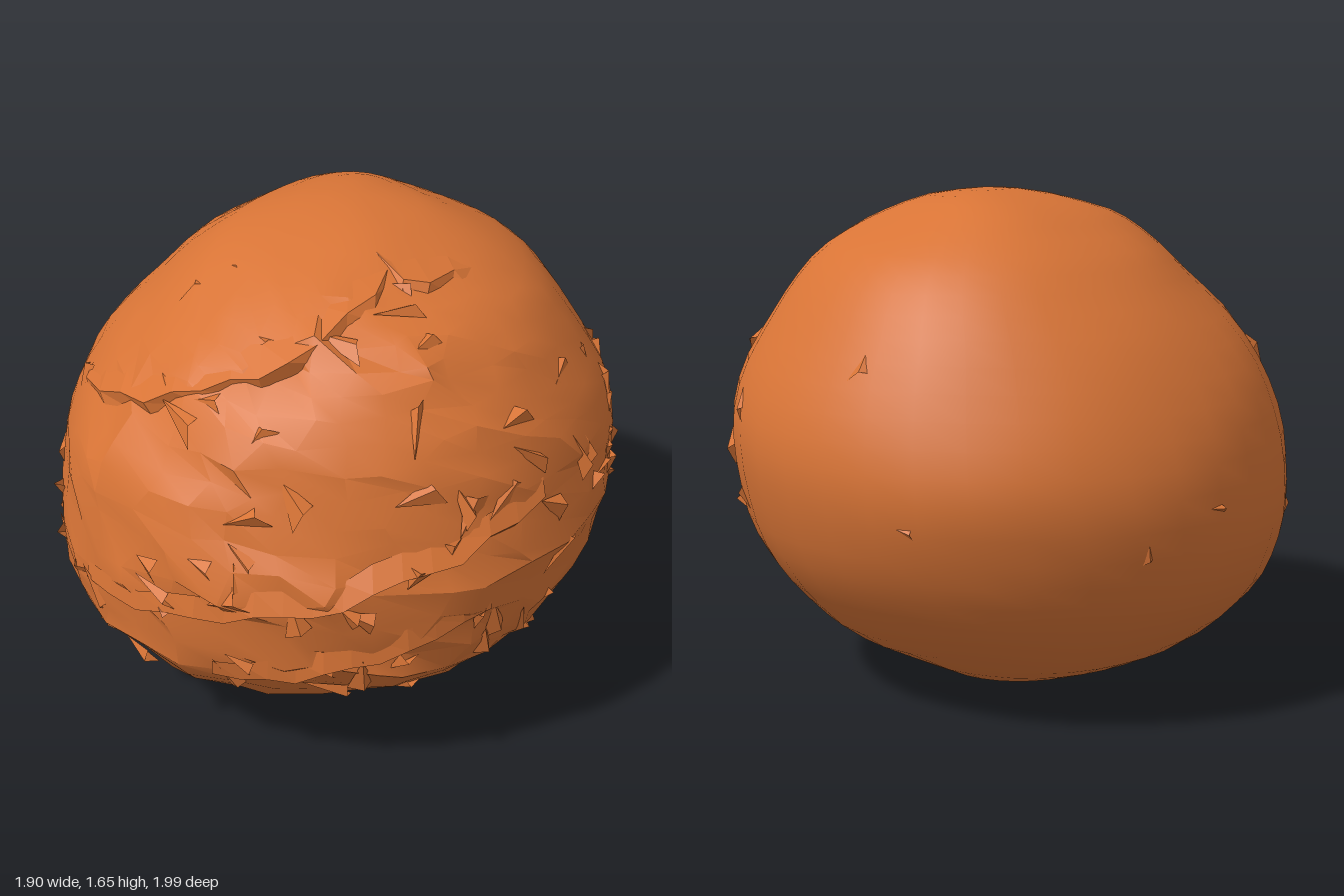
import * as THREE from 'three';
import { toCreasedNormals } from 'three/addons/utils/BufferGeometryUtils.js';

// Seeded random numbers
let seed = 7;
const rnd = () => {
  seed = (seed * 16807) % 2147483647;
  return seed / 2147483647;
};
const spread = (s) => (rnd() - 0.5) * 2 * s;
const { smoothstep, clamp } = THREE.MathUtils;

// Horizontal sections: height, x left/right limits, z back/front limits
const SECTIONS = [
  [0.0, -0.03, -0.03, -0.02, -0.02],
  [0.005, -0.25, 0.17, -0.18, 0.18],
  [0.035, -0.36, 0.27, -0.34, 0.42],
  [0.12, -0.57, 0.46, -0.52, 0.55],
  [0.22, -0.72, 0.64, -0.68, 0.69],
  [0.34, -0.84, 0.77, -0.81, 0.82],
  [0.46, -0.9, 0.85, -0.9, 0.91],
  [0.6, -0.93, 0.91, -0.96, 0.94],
  [0.77, -0.92, 0.94, -1.0, 0.98],
  [0.93, -0.89, 0.94, -0.97, 0.93],
  [1.08, -0.83, 0.9, -0.91, 0.89],
  [1.22, -0.73, 0.82, -0.84, 0.83],
  [1.34, -0.61, 0.74, -0.76, 0.75],
  [1.44, -0.51, 0.65, -0.67, 0.65],
  [1.52, -0.41, 0.53, -0.56, 0.51],
  [1.58, -0.31, 0.41, -0.45, 0.34],
  [1.63, -0.11, 0.27, -0.3, 0.15],
  [1.65, 0.08, 0.08, -0.1, -0.1],
];
const curve = (f) => new THREE.CatmullRomCurve3(
  SECTIONS.map((s) => new THREE.Vector3(...f(s))), false, 'catmullrom', 0.5);
const sideCurve = curve((s) => [s[1], s[0], s[2]]);
const depthCurve = curve((s) => [s[3], s[0], s[4]]);

function ring(u) {
  const s = sideCurve.getPoint(u), d = depthCurve.getPoint(u);
  return {
    y: clamp(s.y, 0, 1.65),
    cx: (s.x + s.z) / 2, rx: Math.abs(s.z - s.x) / 2,
    cz: (d.x + d.z) / 2, rz: Math.abs(d.z - d.x) / 2,
  };
}
// Oval section, squarer at the front -x corner and slimmer near the crown
function surface(u, a) {
  const r = ring(u), c = Math.cos(a), s = Math.sin(a);
  const corner = c < 0 && s > 0 ? 0.045 * (1 - smoothstep(r.y, 1.1, 1.45)) : 0;
  const k = 1 + Math.sin(2 * a) ** 2 * (corner - 0.1 * smoothstep(r.y, 1.45, 1.6));
  return new THREE.Vector3(r.cx + r.rx * k * c, r.y, r.cz + r.rz * k * s);
}
function heightToU(y) {
  let lo = 0, hi = 1;
  for (let i = 0; i < 22; i++) {
    const mid = (lo + hi) / 2;
    if (ring(mid).y < y) lo = mid; else hi = mid;
  }
  return lo;
}
function frontPoint(x, y) {
  const u = heightToU(y), r = ring(u);
  return surface(u, Math.acos(clamp((x - r.cx) / Math.max(r.rx, 0.01), -1, 1)));
}
const outward = (p) =>
  new THREE.Vector3(p.x / 0.88, (p.y - 0.8) / 0.68, p.z / 0.98).normalize();

// Slanting crust ridges across the front: height at x = 0, slope, x range
const RIDGES = [
  { y: 0.79, slope: 0.26, from: -0.75, to: 0.66 },
  { y: 0.51, slope: 0.3, from: -0.36, to: 0.5 },
  { y: 1.49, slope: 0.46, from: -0.8, to: 0.22 },
  { y: 1.62, slope: -0.2, from: 0.14, to: 0.48 },
];
function ridgeOffset(p) {
  let off = 0;
  for (const r of RIDGES) {
    const d = p.y - (r.y + r.slope * p.x);
    const fade = smoothstep(p.x, r.from - 0.1, r.from + 0.15)
      * (1 - smoothstep(p.x, r.to - 0.15, r.to + 0.1));
    if (d < 0 && d > -0.12) off -= 0.022 * (1 + d / 0.12) * fade;
    else if (d >= 0 && d < 0.1) off += 0.012 * (1 - d / 0.1) * fade;
  }
  return off;
}

// Main body: smooth at the back, broken and faceted at the front
function bodyGeometry() {
  const rows = 32, cols = 36, pos = [], idx = [];
  for (let j = 0; j <= rows; j++) {
    for (let i = 0; i < cols; i++) {
      const a = (i / cols) * Math.PI * 2;
      let p = surface(j / rows, a);
      const rough = smoothstep(p.z, -0.05, 0.55) * smoothstep(p.y, 0.05, 0.25)
        * (1 - smoothstep(p.y, 1.45, 1.62));
      if (j > 0 && j < rows) {
        p = surface(j / rows + spread(0.009) * rough, a + spread(0.06) * rough);
        const n = outward(p);
        const lumps = 0.005 * Math.sin(p.x * 9 + p.y * 5) * Math.sin(p.y * 8 - p.z * 6);
        p.addScaledVector(n, lumps + rough * (ridgeOffset(p) - 0.008 + spread(0.014)));
        p.y = Math.max(p.y, 0);
      }
      pos.push(p.x, p.y, p.z);
    }
  }
  for (let j = 0; j < rows; j++) {
    for (let i = 0; i < cols; i++) {
      const k = (i + 1) % cols;
      const a = j * cols + i, b = j * cols + k, c = a + cols, d = b + cols;
      if (j < rows - 1) idx.push(a, c, d);
      if (j > 0) idx.push(a, d, b);
    }
  }
  const g = new THREE.BufferGeometry();
  g.setAttribute('position', new THREE.Float32BufferAttribute(pos, 3));
  g.setIndex(idx);
  return toCreasedNormals(g, 0.4);
}

function facetGeometry(points) {
  const g = new THREE.BufferGeometry().setFromPoints(points);
  g.computeVertexNormals();
  return g;
}

// Jagged lip overhanging one ridge
function lipGeometry(r) {
  const steps = Math.ceil((r.to - r.from) * 11), rings = [], tris = [];
  for (let i = 0; i <= steps; i++) {
    const t = i / steps, x = r.from + (r.to - r.from) * t;
    const y = Math.min(r.y + r.slope * x + spread(0.018), 1.6);
    const size = Math.sin(Math.PI * t) * (0.6 + rnd() * 0.6);
    const root = frontPoint(x, Math.min(y + 0.06, 1.62)), n = outward(root);
    root.addScaledVector(n, -0.012);
    const edge = frontPoint(x, y - 0.02 * size).addScaledVector(n, 0.014 * size);
    const under = frontPoint(x, y - 0.03).addScaledVector(n, -0.035);
    rings.push([root, edge, under]);
  }
  for (let i = 0; i < steps; i++) {
    for (let k = 0; k < 2; k++) {
      const a = rings[i][k], b = rings[i][k + 1];
      const c = rings[i + 1][k], d = rings[i + 1][k + 1];
      tris.push(a, b, d, a, d, c);
    }
  }
  return facetGeometry(tris);
}

// Lifted crust flakes, each a shallow two-faced splinter
function flakesGeometry(count, minAngle, maxAngle, minY, maxY, lift) {
  const tris = [];
  for (let i = 0; i < count; i++) {
    const a = minAngle + rnd() * (maxAngle - minAngle);
    const p = surface(heightToU(minY + rnd() * (maxY - minY)), a);
    const n = outward(p);
    const side = new THREE.Vector3(0, 1, 0).cross(n).normalize();
    const up = n.clone().cross(side);
    const turn = spread(1.6), len = 0.04 + rnd() * 0.06, wide = 0.02 + rnd() * 0.03;
    const along = side.clone().multiplyScalar(Math.cos(turn)).addScaledVector(up, Math.sin(turn));
    const across = n.clone().cross(along);
    const at = (l, w, h) => p.clone().addScaledVector(along, l)
      .addScaledVector(across, w).addScaledVector(n, h);
    const h = lift * (0.4 + rnd() * 0.8);
    const tail = at(-len, 0, -0.015), tip = at(len * 0.6, wide * 0.3, h);
    tris.push(tail, at(len, -wide, -0.015), tip, tail, tip, at(len * 0.5, wide, -0.015));
  }
  return facetGeometry(tris);
}

export function createModel() {
  const crust = new THREE.MeshStandardMaterial({ color: 0xd87436, side: THREE.DoubleSide });
  crust.name = 'crustBrown';
  const model = new THREE.Group();
  model.name = 'crustyLump';
  const add = (name, geometry) => {
    const mesh = new THREE.Mesh(geometry, crust);
    mesh.name = name;
    model.add(mesh);
  };

  add('body', bodyGeometry());
  RIDGES.forEach((r, i) => add('ridgeLip' + (i + 1), lipGeometry(r)));
  const P = Math.PI;
  add('frontFlakes', flakesGeometry(48, 0.15 * P, 0.85 * P, 0.3, 1.35, 0.018));
  add('rightFlakes', flakesGeometry(6, 0.85 * P, 1.0 * P, 0.5, 1.2, 0.016));
  add('leftFlakes', flakesGeometry(18, -0.08 * P, 0.15 * P, 0.6, 1.3, 0.02));
  add('backFlakes', flakesGeometry(6, 1.15 * P, 1.9 * P, 0.4, 1.2, 0.014));
  add('topFlakes', flakesGeometry(6, 0.1 * P, 0.9 * P, 1.4, 1.56, 0.01));
  return model;
}
